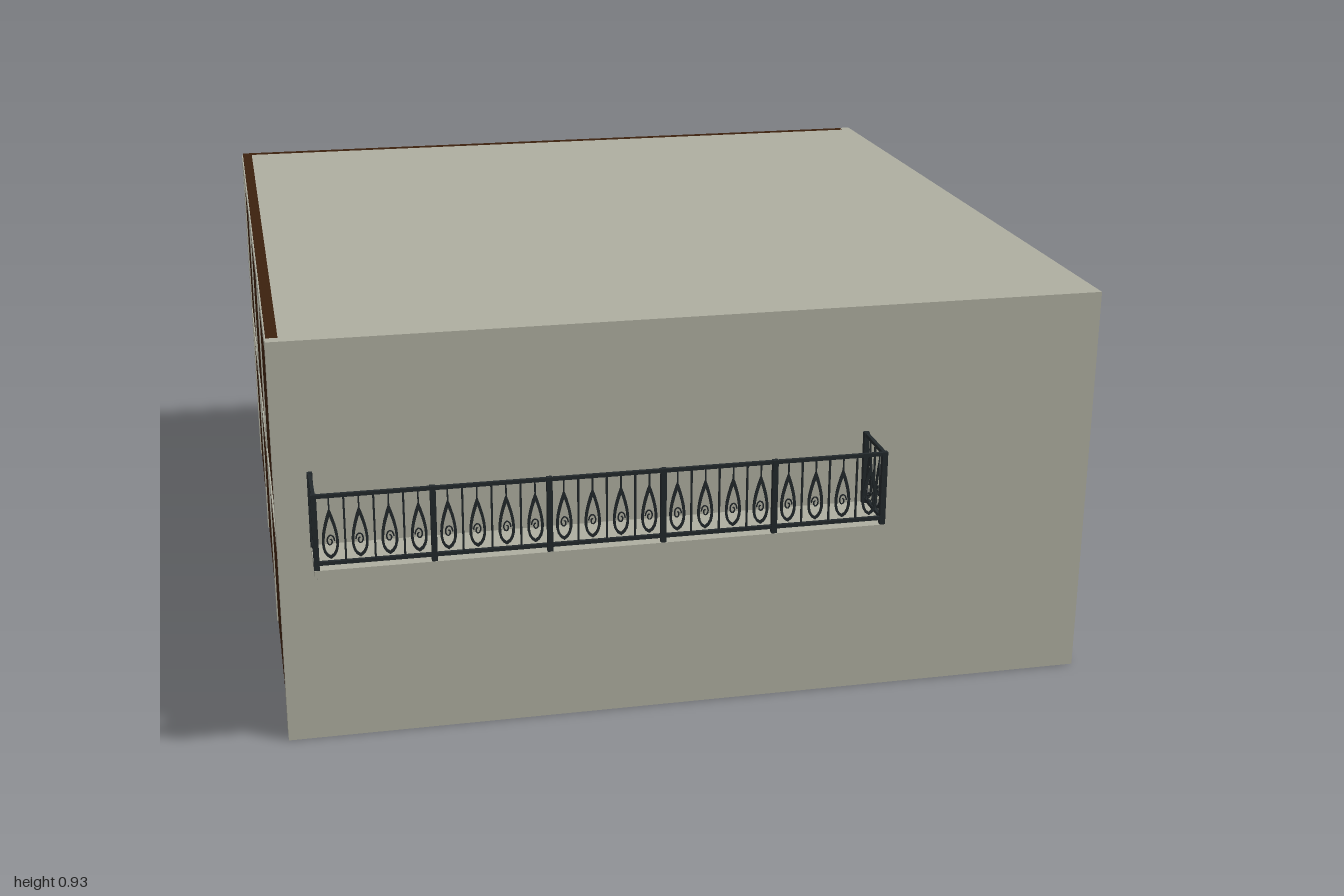
import * as THREE from 'three';

export function createModel() {
  const root = new THREE.Group();
  root.name = 'balconyRoom';
  const material = (name, color) => {
    const m = new THREE.MeshStandardMaterial({ color });
    m.name = name;
    return m;
  };
  const concrete = material('concrete', 0xaeaea0);
  const wood = material('darkWood', 0x3c210e);
  const iron = material('blackIron', 0x22282b);

  // Box given by its lower and upper corners
  const block = (parent, name, mat, x0, x1, y0, y1, z0, z1) => {
    const mesh = new THREE.Mesh(new THREE.BoxGeometry(x1 - x0, y1 - y0, z1 - z0), mat);
    mesh.position.set((x0 + x1) / 2, (y0 + y1) / 2, (z0 + z1) / 2);
    mesh.name = name;
    parent.add(mesh);
    return mesh;
  };

  // Open-bottomed shell: solid front and right, wooden back and left
  const W = 0.93, H = 0.93, ZB = -1, ZF = 0.86, T = 0.028, E = 0.003;
  block(root, 'frontWall', concrete, -W, W, 0, H, ZF - T, ZF);
  block(root, 'sideWall', concrete, W - T, W, 0, H, ZB, ZF - T);
  block(root, 'roof', concrete, -W + T, W - T, H - 0.03, H, ZB + T, ZF - T);
  block(root, 'backPanel', wood, -W + E, W - T, 0, H, ZB + E, ZB + T);
  block(root, 'leftPanel', wood, -W + E, -W + T, 0, H, ZB + T, ZF - T);

  // Thin frame grid on each wooden wall, three columns by two rows
  const frameWall = (name, length) => {
    const g = new THREE.Group();
    g.name = name;
    const b = 0.036, top = H - 0.006;
    for (let i = 0; i <= 3; i++) {
      const c = THREE.MathUtils.clamp(length * i / 3, b / 2, length - b / 2);
      block(g, 'mullion', concrete, c - b / 2, c + b / 2, 0, top, 0, E);
    }
    for (let i = 0; i < 3; i++) {
      const a = i === 0 ? b : length * i / 3 + b / 2;
      const e = i === 2 ? length - b : length * (i + 1) / 3 - b / 2;
      block(g, 'topRail', concrete, a, e, top - 0.034, top, 0, E);
      block(g, 'middleRail', concrete, a, e, 0.43, 0.463, 0, E);
    }
    root.add(g);
    return g;
  };
  const back = frameWall('backFrame', 2 * W - T);
  back.rotation.y = Math.PI;
  back.position.set(W - T, 0, ZB + E);
  const left = frameWall('leftFrame', ZF - T - ZB);
  left.rotation.y = -Math.PI / 2;
  left.position.set(-W + E, 0, ZB);

  // Balcony slab with a stepped lower edge
  const balcony = new THREE.Group();
  balcony.name = 'balcony';
  root.add(balcony);
  const BX0 = -0.858, BX1 = 0.39;
  block(balcony, 'slab', concrete, BX0, BX1, 0.45, 0.467, ZF, 1);
  block(balcony, 'slabMoulding', concrete, BX0 + 0.005, BX1 - 0.005, 0.438, 0.45, ZF, 0.995);

  // Wrought ornament: pointed leaf outline with a curl inside
  const leaf = (Path, w, y0, y1) => {
    const p = new Path();
    const h = y1 - y0;
    p.moveTo(0, y0);
    p.bezierCurveTo(w * 1.5, y0 + h * 0.1, w * 1.1, y0 + h * 0.55, 0, y1);
    p.bezierCurveTo(-w * 1.1, y0 + h * 0.55, -w * 1.5, y0 + h * 0.1, 0, y0);
    return p;
  };
  const leafShape = leaf(THREE.Shape, 0.018, 0.49, 0.605);
  leafShape.holes.push(leaf(THREE.Path, 0.0125, 0.497, 0.585));
  const leafGeo = new THREE.ExtrudeGeometry(leafShape, { depth: 0.004, bevelEnabled: false, curveSegments: 8 });
  leafGeo.translate(0, 0, -0.002);
  const curl = [];
  for (let i = 0; i <= 12; i++) {
    const a = i / 12 * Math.PI * 2.6, r = 0.009 - 0.0006 * i;
    curl.push(new THREE.Vector3(Math.cos(a) * r, 0.53 + Math.sin(a) * r * 1.7, 0));
  }
  const curlGeo = new THREE.TubeGeometry(new THREE.CatmullRomCurve3(curl), 24, 0.0017, 5);

  // One railing bay running along +x, with evenly spaced ornaments
  const bay = (length, count) => {
    const g = new THREE.Group();
    g.name = 'railingBay';
    block(g, 'handrail', iron, 0, length, 0.628, 0.636, -0.004, 0.004);
    block(g, 'bottomRail', iron, 0, length, 0.477, 0.485, -0.004, 0.004);
    const step = length / count;
    for (let i = 0; i < count; i++) {
      const x = (i + 0.5) * step;
      for (const [name, geo] of [['leafOrnament', leafGeo], ['curlOrnament', curlGeo]]) {
        const m = new THREE.Mesh(geo, iron);
        m.name = name;
        m.position.x = x;
        m.scale.x = i % 2 ? -1 : 1;
        g.add(m);
      }
      block(g, 'stem', iron, x - 0.0015, x + 0.0015, 0.585, 0.628, -0.0015, 0.0015);
      if (i > 0) block(g, 'bar', iron, i * step - 0.002, i * step + 0.002, 0.485, 0.628, -0.002, 0.002);
    }
    balcony.add(g);
    return g;
  };
  const post = (x, z) =>
    block(balcony, 'railingPost', iron, x - 0.006, x + 0.006, 0.467, 0.637, z - 0.006, z + 0.006);

  // Five bays along the front, one short return at each end
  const x0 = BX0 + 0.005, x1 = BX1 - 0.004, zr = 0.993, step = (x1 - x0) / 5;
  for (let i = 0; i <= 5; i++) {
    post(x0 + i * step, zr);
    if (i < 5) bay(step, 4).position.set(x0 + i * step, 0, zr);
  }
  for (const x of [x0, x1]) {
    post(x, ZF + 0.007);
    const side = bay(zr - ZF - 0.007, 2);
    side.rotation.y = Math.PI / 2;
    side.position.set(x, 0, zr);
  }
  return root;
}
